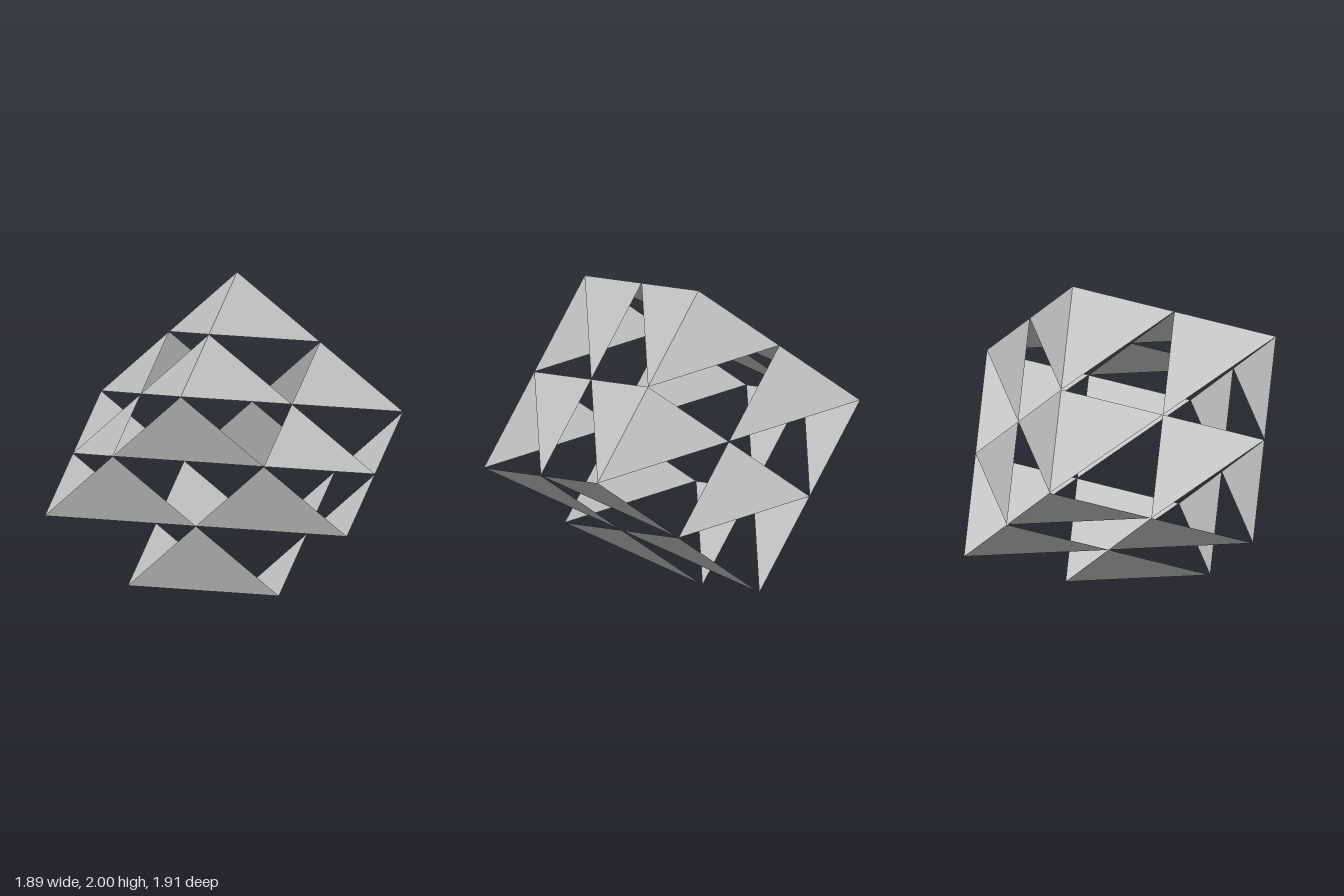
import * as THREE from 'three';

// Tilted hollow cube: each of its six faces is a 2 x 2 grid of half-square sheets.
export function createModel() {
  const model = new THREE.Group();
  model.name = 'triangleLatticeCube';
  const material = new THREE.MeshStandardMaterial({
    color: 0xcccccc, flatShading: true, side: THREE.DoubleSide,
  });

  // The top corner and the three perpendicular cell edges leaving it
  const corner = new THREE.Vector3(0, 2, -0.291);
  const edges = {
    front: new THREE.Vector3(0, -0.2357, 0.6237),
    left: new THREE.Vector3(0.4715, -0.441, -0.1667),
    right: new THREE.Vector3(-0.4715, -0.441, -0.1667),
  };

  // One face: its origin, two in-plane edges and its outward direction
  function addFace(name, origin, u, v, outward) {
    const flip = new THREE.Vector3().crossVectors(u, v).dot(outward) < 0;
    const [p, q] = flip ? [v, u] : [u, v];
    const positions = [];
    for (let i = 0; i < 2; i++) {
      for (let j = 0; j < 2; j++) {
        const a = origin.clone().addScaledVector(p, i).addScaledVector(q, j);
        for (const point of [a, a.clone().add(p), a.clone().add(q)]) {
          positions.push(...point.toArray());
        }
      }
    }
    const geometry = new THREE.BufferGeometry();
    geometry.setAttribute('position', new THREE.Float32BufferAttribute(positions, 3));
    geometry.computeVertexNormals();
    const mesh = new THREE.Mesh(geometry, material);
    mesh.name = name;
    model.add(mesh);
  }

  // Pairs of opposite faces
  for (const [name, axis] of Object.entries(edges)) {
    const [u, v] = Object.values(edges).filter((edge) => edge !== axis);
    addFace(`${name}NearFace`, corner, u, v, axis.clone().negate());
    addFace(`${name}FarFace`, corner.clone().addScaledVector(axis, 2), u, v, axis);
  }
  return model;
}
